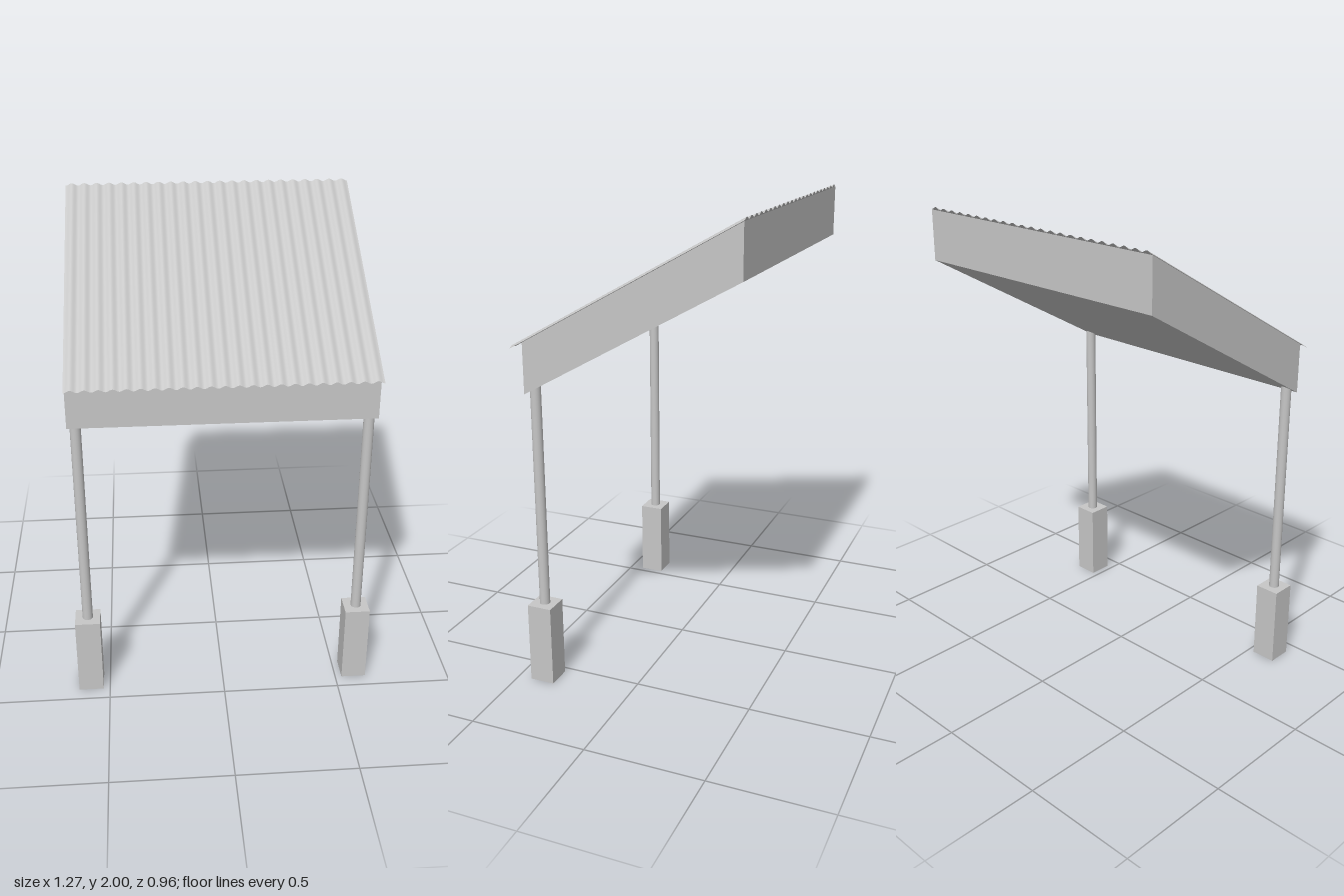
import * as THREE from 'three';

const SLOPE = 0.567; // roof rise per unit of depth, climbing towards the back

// Shear a geometry along the roof pitch, with an optional extra height per vertex
function pitch(geometry, lift = () => 0) {
  const p = geometry.attributes.position;
  for (let i = 0; i < p.count; i++) {
    p.setY(i, p.getY(i) - SLOPE * p.getZ(i) + lift(p.getX(i)));
  }
  geometry.computeVertexNormals();
  return geometry;
}

export function createModel() {
  const model = new THREE.Group();
  model.name = 'shelter';
  const grey = new THREE.MeshStandardMaterial({ color: 0xc6c6c6 });
  grey.name = 'light grey';
  const sheetGrey = new THREE.MeshStandardMaterial({ color: 0xc6c6c6, side: THREE.DoubleSide });
  sheetGrey.name = 'sheet grey';

  function add(name, geometry, material, x = 0, y = 0, z = 0) {
    const mesh = new THREE.Mesh(geometry, material);
    mesh.name = name;
    mesh.position.set(x, y, z);
    model.add(mesh);
  }

  // Closed roof body with upright sides and a pitched top and underside
  const width = 1.226;
  const body = new THREE.BoxGeometry(width, 0.21, 0.9).translate(0, 0, -0.03);
  add('roofBody', pitch(body), grey, 0, 1.613, 0);

  // Corrugated sheet overhanging the front
  const waves = 23;
  const sheet = new THREE.PlaneGeometry(width, 0.96, waves * 10, 1).rotateX(-Math.PI / 2);
  const wave = (x) => 0.005 * (1 - Math.cos((x / width + 0.5) * waves * Math.PI * 2));
  add('corrugatedSheet', pitch(sheet, wave), sheetGrey, 0, 1.72, 0);

  // Round posts on square footings
  for (const side of [-1, 1]) {
    const x = side * 0.581;
    add('footing', new THREE.BoxGeometry(0.106, 0.35, 0.106), grey, x, 0.175, 0.387);
    add('post', new THREE.CylinderGeometry(0.022, 0.022, 1.0, 16), grey, x, 0.85, 0.387);
  }
  return model;
}
